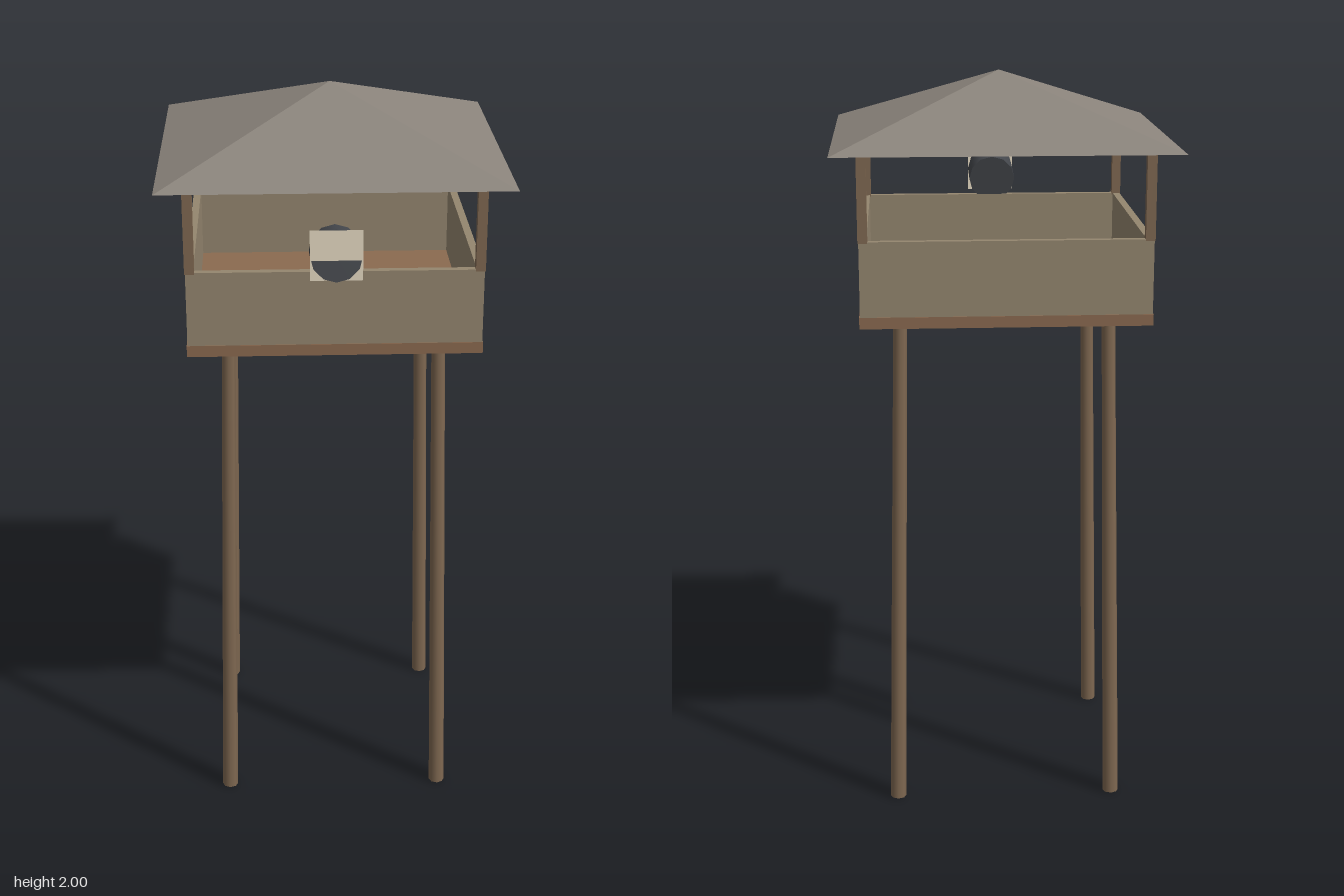
import * as THREE from 'three';

const material = (color, extra = {}) => new THREE.MeshStandardMaterial({ color, ...extra });

export function createModel() {
  const tower = new THREE.Group();
  tower.name = 'watchtower';
  tower.position.z = -0.006;

  const wood = material(0x7f6851);
  const plank = material(0x8b6a50);
  const panel = material(0x94866f);
  const roofing = material(0x8a837b, { side: THREE.DoubleSide, flatShading: true });
  const metal = material(0x44474c);
  const glass = material(0xe8dcc4, { side: THREE.DoubleSide });

  const add = (name, geometry, mat, x = 0, y = 0, z = 0) => {
    const mesh = new THREE.Mesh(geometry, mat);
    mesh.name = name;
    mesh.position.set(x, y, z);
    tower.add(mesh);
    return mesh;
  };

  // Four legs leaning inward, and four posts under the roof
  const up = new THREE.Vector3(0, 1, 0);
  for (const sx of [-1, 1]) {
    for (const sz of [-1, 1]) {
      const foot = new THREE.Vector3(sx * 0.302, 0.001, sz * 0.302);
      const head = new THREE.Vector3(sx * 0.275, 1.385, sz * 0.275);
      const axis = head.clone().sub(foot);
      const middle = foot.clone().add(head).multiplyScalar(0.5);
      const leg = add('leg', new THREE.CylinderGeometry(0.018, 0.022, axis.length(), 8), wood, ...middle);
      leg.quaternion.setFromUnitVectors(up, axis.normalize());

      add('roofPost', new THREE.BoxGeometry(0.025, 0.24, 0.025), wood, sx * 0.3675, 1.722, sz * 0.3675);
    }
  }

  // Platform floor
  add('floor', new THREE.BoxGeometry(0.76, 0.03, 0.76), plank, 0, 1.395, 0);

  // Low walls around the platform
  for (const s of [-1, 1]) {
    add('endWall', new THREE.BoxGeometry(0.756, 0.196, 0.02), panel, 0, 1.508, s * 0.368);
    add('sideWall', new THREE.BoxGeometry(0.02, 0.196, 0.716), panel, s * 0.368, 1.508, 0);
  }

  // Open pyramid roof
  const roof = new THREE.ConeGeometry(0.447 * Math.SQRT2, 0.17, 4, 1, true);
  roof.rotateY(Math.PI / 4);
  add('roof', roof, roofing, 0, 1.915, 0);

  // Searchlight on the front wall, tipped slightly upward
  const tilt = 0.175;
  const lamp = add('searchlight', new THREE.CylinderGeometry(0.066, 0.066, 0.097, 12), metal,
    0, 1.67 - 0.0485 * Math.sin(tilt), 0.447 - 0.0485 * Math.cos(tilt));
  lamp.rotation.x = Math.PI / 2 - tilt;

  // Upright square lens crossing the lamp face
  add('lens', new THREE.PlaneGeometry(0.132, 0.13), glass, 0, 1.672, 0.449);

  return tower;
}
